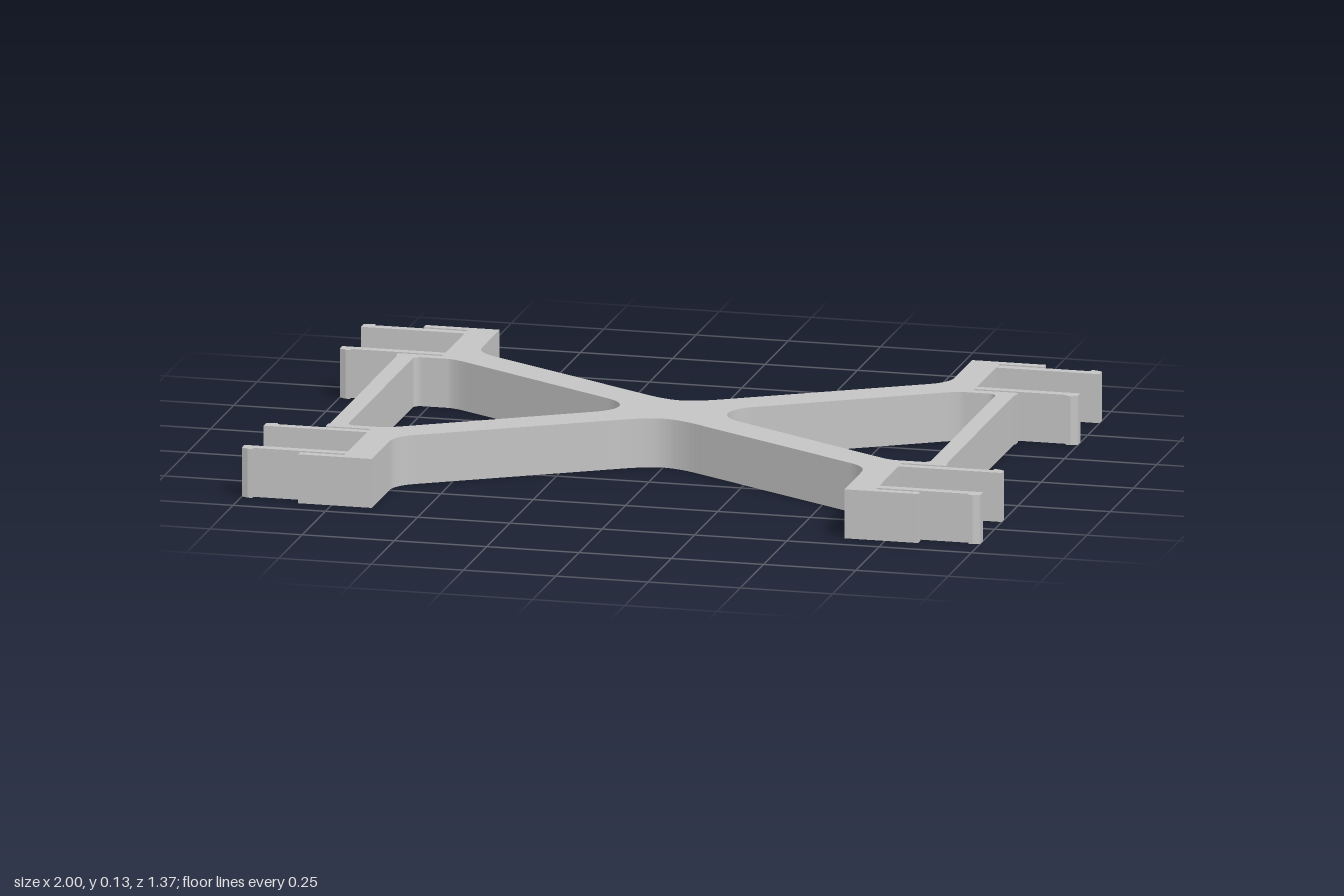
import * as THREE from 'three';

const HEIGHT = 0.133;

// Extrude a plan drawing (x, z) straight up from the ground
function slab(shape, material, name) {
  const geometry = new THREE.ExtrudeGeometry(shape, { depth: HEIGHT, bevelEnabled: false });
  geometry.rotateX(-Math.PI / 2);
  const mesh = new THREE.Mesh(geometry, material);
  mesh.name = name;
  return mesh;
}

const mirror = (points, sx, sy) => points.map((p) => new THREE.Vector2(p.x * sx, p.y * sy)).reverse();

export function createModel() {
  const group = new THREE.Group();
  group.name = 'crossBracket';
  const grey = new THREE.MeshStandardMaterial({ color: 0xc4c4c4 });
  grey.name = 'grey';

  // One quarter of the frame outline: hub, diagonal arm, post, end tab, side bar
  const quarter = new THREE.Path();
  quarter.moveTo(0, 0.097);
  quarter.quadraticCurveTo(0.045, 0.097, 0.12, 0.144);
  quarter.lineTo(0.59, 0.42);
  quarter.quadraticCurveTo(0.64, 0.45, 0.64, 0.5);
  const corners = [
    [0.64, 0.687], [0.84, 0.687], [0.84, 0.664], [0.72, 0.664],
    [0.72, 0.388], [0.84, 0.388], [0.84, 0.362], [0.836, 0.362],
  ];
  corners.forEach(([x, y]) => quarter.lineTo(x, y));
  const q = quarter.getPoints(10);
  const half = [...q, ...mirror(q, 1, -1)];
  // Counter-clockwise, so that the openings are wound to face inwards
  const outline = [...half, ...mirror(half, -1, 1).slice(1, -1)].reverse();
  const frame = new THREE.Shape(outline);

  // Rounded triangular opening on each side
  for (const [side, tip] of [[1, 0.152], [-1, 0.143]]) {
    const edge = new THREE.Path();
    edge.moveTo(tip, 0);
    edge.quadraticCurveTo(tip, 0.042, 0.195, 0.073);
    edge.lineTo(0.64, 0.338);
    edge.quadraticCurveTo(0.68, 0.362, 0.7, 0.362);
    edge.lineTo(0.765, 0.362);
    edge.quadraticCurveTo(0.789, 0.362, 0.789, 0.34);
    const e = edge.getPoints(10);
    const loop = [...e, ...mirror(e, 1, -1).slice(0, -1)];
    frame.holes.push(new THREE.Path(loop.map((p) => new THREE.Vector2(p.x * side, p.y))));
  }
  group.add(slab(frame, grey, 'frame'));

  // Barbed clip arms, an outer and an inner one at each corner
  const clips = {
    outerClip: [[0.72, 0.627], [1, 0.627], [1, 0.655], [0.982, 0.664], [0.97, 0.664], [0.97, 0.652], [0.72, 0.652]],
    innerClip: [[0.72, 0.423], [1, 0.423], [1, 0.397], [0.982, 0.388], [0.97, 0.388], [0.97, 0.399], [0.72, 0.399]],
  };
  for (const [name, points] of Object.entries(clips)) {
    for (const sx of [1, -1]) {
      for (const sy of [1, -1]) {
        const shape = new THREE.Shape(points.map(([x, y]) => new THREE.Vector2(x * sx, y * sy)));
        const label = name + (sy < 0 ? 'Front' : 'Back') + (sx > 0 ? 'Left' : 'Right');
        group.add(slab(shape, grey, label));
      }
    }
  }
  return group;
}
